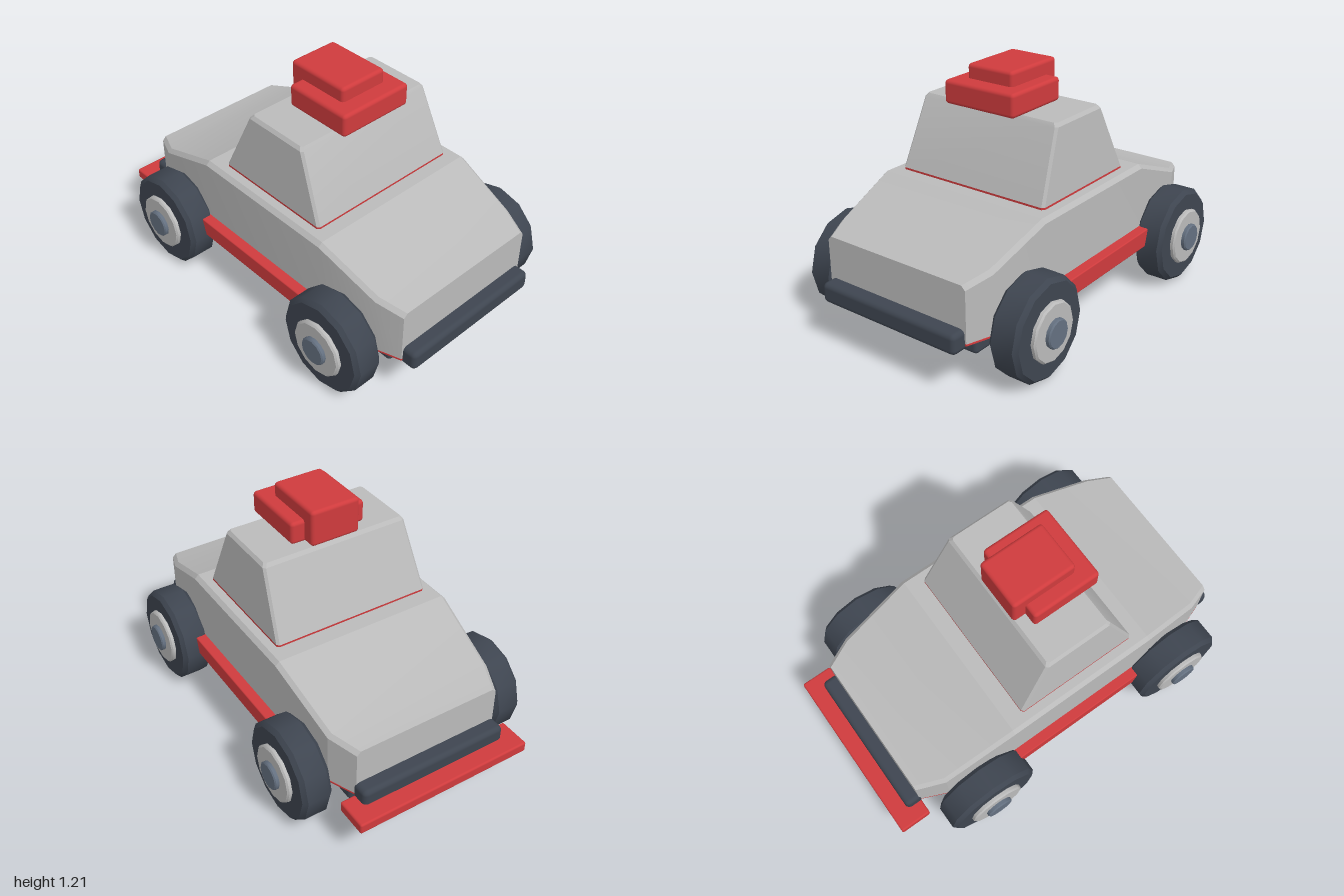
import * as THREE from 'three';
import { toCreasedNormals } from 'three/addons/utils/BufferGeometryUtils.js';
import { RoundedBoxGeometry } from 'three/addons/geometries/RoundedBoxGeometry.js';

const mat = (name, color) => {
  const m = new THREE.MeshStandardMaterial({ color });
  m.name = name;
  return m;
};

// Skin a row of equal-length rings (counter-clockwise about the row's direction), with end caps
function loft(rings) {
  const n = rings[0].length;
  const index = [];
  for (let r = 0; r < rings.length - 1; r++) {
    for (let i = 0; i < n; i++) {
      const a = r * n + i, b = r * n + (i + 1) % n;
      index.push(a, b, b + n, a, b + n, a + n);
    }
  }
  const last = (rings.length - 1) * n;
  for (let i = 1; i < n - 1; i++) {
    index.push(0, i + 1, i, last, last + i, last + i + 1);
  }
  const g = new THREE.BufferGeometry();
  g.setAttribute('position', new THREE.Float32BufferAttribute(rings.flat(2), 3));
  g.setIndex(index);
  return toCreasedNormals(g, 0.25);
}

// Horizontal rectangle ring with clipped corners
const rectRing = (y, x0, x1, hz, c) => [
  [x1, y, hz - c], [x1, y, -hz + c], [x1 - c, y, -hz], [x0 + c, y, -hz],
  [x0, y, -hz + c], [x0, y, hz - c], [x0 + c, y, hz], [x1 - c, y, hz],
];

export function createModel() {
  const model = new THREE.Group();
  model.name = 'toyCar';
  const grey = mat('bodyGrey', 0xbababa);
  const red = mat('trimRed', 0xcf3b3d);
  const dark = mat('rubberDark', 0x3e4550);
  const slate = mat('capSlate', 0x647080);

  const add = (name, geometry, material, parent = model) => {
    const mesh = new THREE.Mesh(geometry, material);
    mesh.name = name;
    parent.add(mesh);
    return mesh;
  };
  // Bevelled box given by its extents
  const box = (name, material, [x0, x1], [y0, y1], [z0, z1], bevel) => {
    const g = new RoundedBoxGeometry(x1 - x0, y1 - y0, z1 - z0, 2, bevel);
    add(name, g, material).position.set((x0 + x1) / 2, (y0 + y1) / 2, (z0 + z1) / 2);
  };

  // Body shell: stations of x, top height, half width
  const stations = [
    [-0.84, 0.495, 0.385], [-0.7, 0.52, 0.445], [-0.32, 0.67, 0.478],
    [0.48, 0.67, 0.478], [0.8, 0.55, 0.445], [0.93, 0.515, 0.4],
  ];
  const section = (x, y0, y1, w, c) => [
    [x, y0, w], [x, y0, -w], [x, y1 - c, -w], [x, y1, -w + c], [x, y1, w - c], [x, y1 - c, w],
  ];
  add('body', loft(stations.map(([x, y, w]) => section(x, 0.245, y, w, 0.02))), grey);
  add('underPlate', loft(stations.map(([x, , w]) => section(x, 0.235, 0.245, w, 0.002))), red);

  // Cabin and the red seam beneath it
  add('cabinSeam', loft([
    rectRing(0.665, -0.235, 0.412, 0.416, 0.012), rectRing(0.68, -0.235, 0.412, 0.416, 0.012),
  ]), red);
  add('cabin', loft([
    rectRing(0.68, -0.235, 0.412, 0.416, 0.012),
    rectRing(1.008, -0.085, 0.277, 0.388, 0.012),
    rectRing(1.025, -0.07, 0.265, 0.375, 0.012),
  ]), grey);

  // Roof blocks
  box('roofBlockTall', red, [-0.08, 0.26], [1.025, 1.21], [-0.13, 0.13], 0.018);
  box('roofBlockWide', red, [-0.015, 0.345], [1.025, 1.14], [-0.2, 0.2], 0.018);

  // Chassis, bumpers, end plate
  box('chassis', dark, [-0.78, 0.84], [0.135, 0.236], [-0.378, 0.378], 0.02);
  box('bumperLeft', dark, [0.905, 1], [0.21, 0.31], [-0.392, 0.392], 0.025);
  box('bumperRight', dark, [-0.915, -0.82], [0.21, 0.31], [-0.392, 0.392], 0.025);
  box('endPlate', red, [-1, -0.835], [0.183, 0.238], [-0.467, 0.467], 0.01);

  // Wheels as twelve-sided turned profiles
  const turned = (pts) => toCreasedNormals(
    new THREE.LatheGeometry(pts.map(([r, y]) => new THREE.Vector2(r, y)), 12), 0.6);
  const disc = (r, y0, y1, c) => turned(
    [[0, y0], [r - c, y0], [r, y0 + c], [r, y1 - c], [r - c, y1], [0, y1]]);
  const tyre = disc(0.245, 0.465, 0.617, 0.02);
  const rim = disc(0.143, 0.6, 0.64, 0.008);
  const cap = disc(0.07, 0.62, 0.662, 0.006);

  for (const side of [1, -1]) {
    const face = side > 0 ? 'front' : 'back';
    for (const [x, end] of [[0.633, 'Left'], [-0.54, 'Right']]) {
      const wheel = new THREE.Group();
      wheel.name = `${face}${end}Wheel`;
      add('tyre', tyre, dark, wheel);
      add('rim', rim, grey, wheel);
      add('hubCap', cap, slate, wheel);
      wheel.position.set(x, 0.245, 0);
      wheel.rotation.x = side * Math.PI / 2;
      model.add(wheel);
    }
    // Side skirt between the wheels
    box(`${face}Skirt`, red, [-0.38, 0.47], [0.25, 0.34], side > 0 ? [0.46, 0.53] : [-0.53, -0.46], 0.006);
  }
  return model;
}
